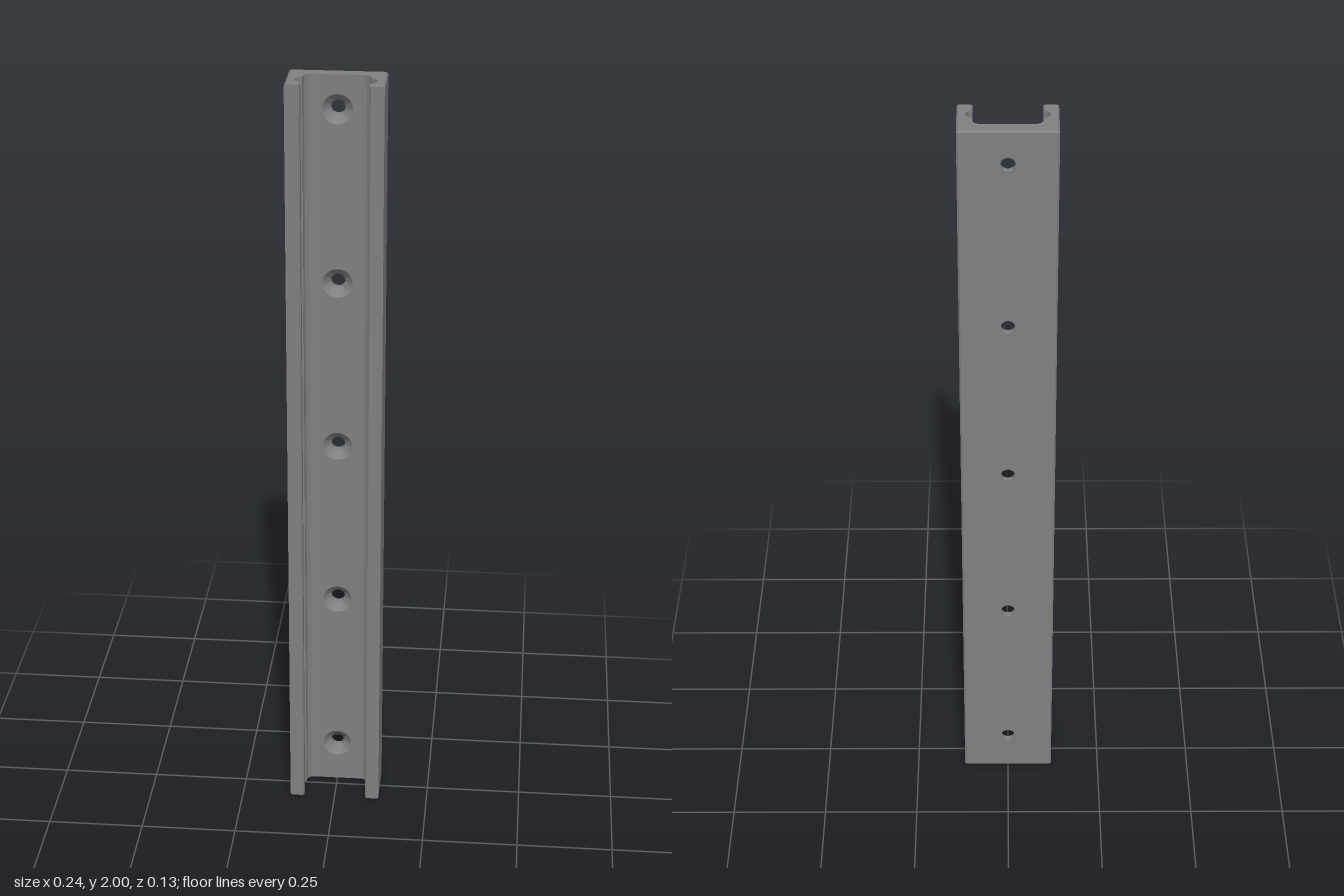
import * as THREE from 'three';
import { toCreasedNormals } from 'three/addons/utils/BufferGeometryUtils.js';

const W = 0.12, D = 0.065, L = 2;      // half width, half depth, length
const C = 0.004;                       // outer edge chamfer
const SEAM = 0.05;                     // where the web meets the side rails
const WEB = -0.029;                    // front face of the web (z)
const INNER = 0.083;                   // inner face of the side rails (x)
const HOLE = 0.018, SINK = 0.038;      // bore and countersink radii
const holeYs = [0, 1, 2, 3, 4].map(i => 0.113 + 0.45 * i);

// Extrude in three unit steps, then place each ring by a rule rule(vertex, ringIndex)
function extrudeRings(shape, rule) {
  const g = new THREE.ExtrudeGeometry(shape, { depth: 3, steps: 3, bevelEnabled: false, curveSegments: 32 });
  const p = g.attributes.position, v = new THREE.Vector3();
  for (let i = 0; i < p.count; i++) {
    v.fromBufferAttribute(p, i);
    rule(v, Math.round(v.z));
    p.setXYZ(i, v.x, v.y, v.z);
  }
  return g;
}

// Side rail: cross-section with round groove and filleted inner corner (shape y = -z)
function railGeometry(side) {
  const s = new THREE.Shape();
  const r = 0.022, x = 0.077;          // groove radius and centre
  const a = Math.acos((INNER - x) / r);
  s.moveTo(SEAM, D);
  s.lineTo(W - C, D);
  s.lineTo(W, D - C);
  s.lineTo(W, -D);
  s.lineTo(INNER + 0.004, -D);
  s.lineTo(INNER, -D + 0.004);
  s.absarc(x, -0.0185, r, -a, a, false);
  s.absarc(INNER - 0.02, -WEB - 0.02, 0.02, 0, Math.PI / 2, false);
  s.lineTo(SEAM, -WEB);
  const points = s.getPoints(24).map(q => new THREE.Vector2(q.x * side, q.y));
  const g = extrudeRings(new THREE.Shape(points), (v, ring) => {
    if (ring === 0 || ring === 3) {    // chamfer the outer edges of both ends
      v.x = THREE.MathUtils.clamp(v.x, C - W, W - C);
      v.y = Math.min(v.y, D - C);
    }
    v.z = [0, C, L - C, L][ring];
  });
  g.rotateX(-Math.PI / 2);
  return g;
}

// Web: plate with countersunk holes, chamfered at the back of both ends
function webGeometry() {
  const s = new THREE.Shape();
  s.moveTo(-SEAM, 0);
  s.lineTo(SEAM, 0);
  s.lineTo(SEAM, L);
  s.lineTo(-SEAM, L);
  s.closePath();
  for (const y of holeYs) {
    s.holes.push(new THREE.Path().absarc(0, y, SINK, 0, Math.PI * 2, true));
  }
  return extrudeRings(s, (v, ring) => {
    if (ring === 0) v.y = THREE.MathUtils.clamp(v.y, C, L - C);
    if (ring < 3) {                    // narrow the countersinks to the bores
      const y = holeYs.find(h => Math.hypot(v.x, v.y - h) < SINK * 1.1);
      if (y !== undefined) {
        v.x *= HOLE / SINK;
        v.y = y + (v.y - y) * HOLE / SINK;
      }
    }
    v.z = [-D, C - D, -0.05, WEB][ring];
  });
}

export function createModel() {
  const group = new THREE.Group();
  group.name = 'mountingChannel';
  const material = new THREE.MeshStandardMaterial({ color: 0x808080 });
  const add = (name, geometry) => {
    const mesh = new THREE.Mesh(toCreasedNormals(geometry, 0.5), material);
    mesh.name = name;
    group.add(mesh);
  };
  add('leftRail', railGeometry(1));
  add('rightRail', railGeometry(-1));
  add('drilledWeb', webGeometry());
  return group;
}
